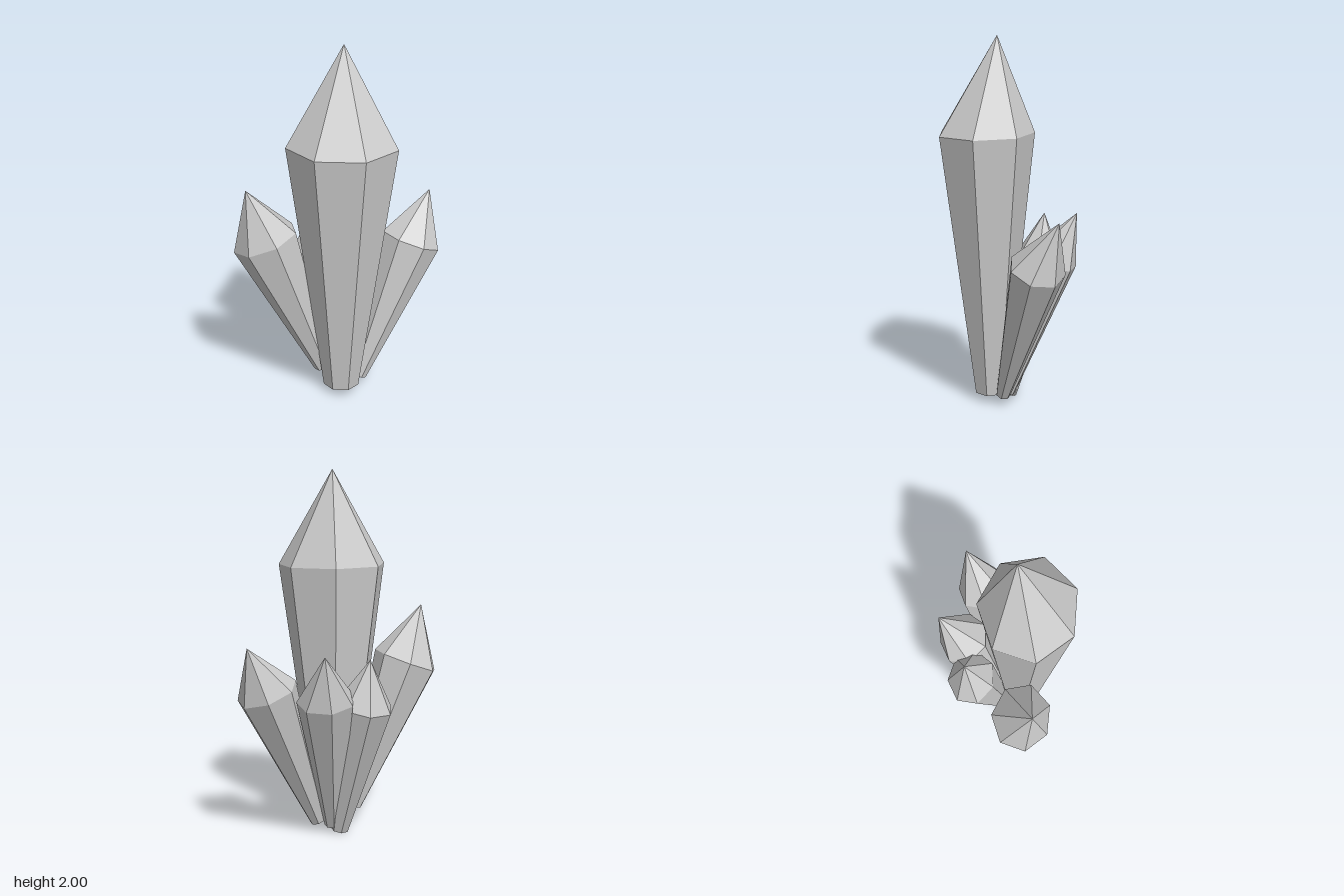
import * as THREE from 'three';

const SIDES = 7;
const DEPTH = 0.886; // crystals are slightly flattened front to back

// Seven-sided ring around a centre, tilted square to the crystal's axis
function ring(center, radius, tilt, twist) {
  return Array.from({ length: SIDES }, (_, i) => {
    const a = -Math.PI / 2 + twist + (i / SIDES) * Math.PI * 2;
    return new THREE.Vector3(Math.cos(a) * radius, 0, Math.sin(a) * radius * DEPTH)
      .applyQuaternion(tilt).add(center);
  });
}

// Tapered shaft widening from base to shoulder, closed by a pointed tip
function crystal({ name, base, baseRadius, shoulder, radius, apex, twist = 0 }, material) {
  const b = new THREE.Vector3(...base);
  const s = new THREE.Vector3(...shoulder);
  const tip = new THREE.Vector3(...apex);
  const tilt = new THREE.Quaternion().setFromUnitVectors(
    new THREE.Vector3(0, 1, 0), s.clone().sub(b).normalize());
  const low = ring(b, baseRadius, tilt, twist);
  const high = ring(s, radius, tilt, twist);

  const points = [];
  for (let i = 0; i < SIDES; i++) {
    const j = (i + 1) % SIDES;
    points.push(low[i], high[i], high[j], low[i], high[j], low[j]); // shaft
    points.push(high[i], tip, high[j]); // tip facet
    points.push(b, low[i], low[j]); // bottom cap
  }
  const geometry = new THREE.BufferGeometry().setFromPoints(points);
  geometry.computeVertexNormals();
  const mesh = new THREE.Mesh(geometry, material);
  mesh.name = name;
  return mesh;
}

export function createModel() {
  const group = new THREE.Group();
  group.name = 'crystalCluster';
  const material = new THREE.MeshStandardMaterial({ color: 0xcccccc, flatShading: true });

  const crystals = [
    { name: 'mainCrystal', base: [0.02, 0.045, 0.105], baseRadius: 0.1,
      shoulder: [0.026, 1.487, 0.128], radius: 0.297, apex: [0.03, 2, 0.065] },
    { name: 'rightCrystal', base: [-0.085, 0.13, 0.07], baseRadius: 0.05,
      shoulder: [-0.385, 0.945, 0.132], radius: 0.183, apex: [-0.475, 1.25, 0.19] },
    { name: 'leftCrystal', base: [0.115, 0.055, 0.035], baseRadius: 0.045,
      shoulder: [0.393, 0.838, -0.139], radius: 0.168, apex: [0.495, 1.1, -0.245] },
    { name: 'backLeftCrystal', base: [0.035, 0.04, 0.01], baseRadius: 0.045,
      shoulder: [0.085, 0.808, -0.226], radius: 0.157, apex: [0.1, 1.07, -0.358], twist: -0.12 },
    { name: 'backRightCrystal', base: [-0.005, 0.012, 0.005], baseRadius: 0.05,
      shoulder: [-0.125, 0.765, -0.167], radius: 0.155, apex: [-0.15, 1.02, -0.195], twist: -0.12 },
  ];
  for (const c of crystals) group.add(crystal(c, material));
  return group;
}
